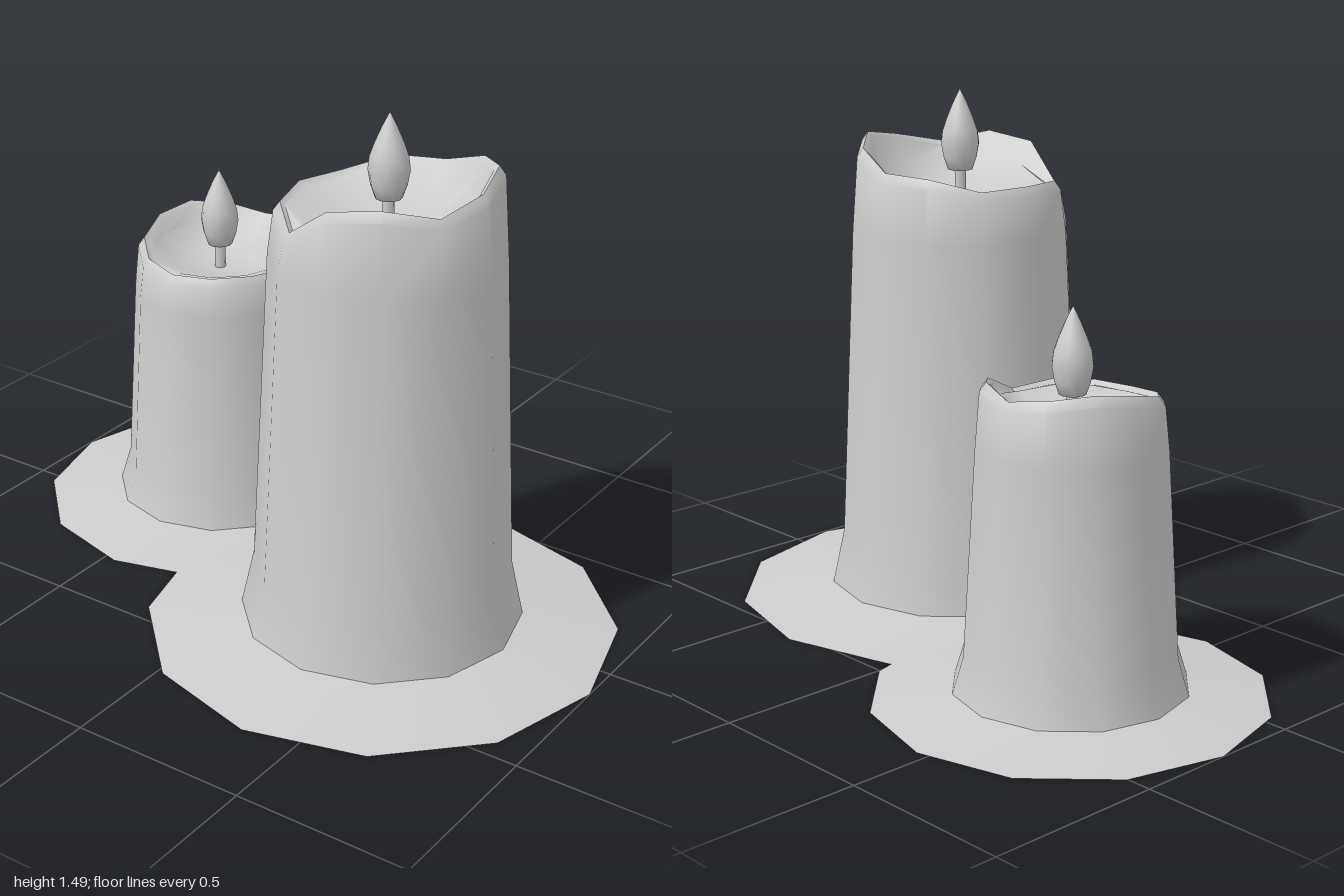
import * as THREE from 'three';
import { toCreasedNormals } from 'three/addons/utils/BufferGeometryUtils.js';

const SIDES = 12;

// Skin a stack of 12-sided rings; each ring is [radius, height or height-per-side function]
function loft(rings, crease) {
  const pos = [], index = [];
  rings.forEach(([r, y], k) => {
    for (let i = 0; i < SIDES; i++) {
      const a = (i / SIDES) * Math.PI * 2;
      pos.push(r * Math.cos(a), typeof y === 'function' ? y(i) : y, r * Math.sin(a));
      if (k === 0) continue;
      const j = (i + 1) % SIDES, lo = (k - 1) * SIDES, hi = k * SIDES;
      if (rings[k - 1][0] > 0) index.push(lo + i, hi + i, lo + j);
      if (r > 0) index.push(lo + j, hi + i, hi + j);
    }
  });
  const geo = new THREE.BufferGeometry();
  geo.setAttribute('position', new THREE.Float32BufferAttribute(pos, 3));
  geo.setIndex(index);
  return toCreasedNormals(geo, crease);
}

function createCandle({ name, x, z, poolR, baseR, baseY, flareR, flareY, shoulderR, shoulderY, rimR, rim, floorY, tipY }) {
  const candle = new THREE.Group();
  candle.name = name;
  candle.position.set(x, 0, z);
  const material = new THREE.MeshStandardMaterial({ color: 0xcccccc, side: THREE.DoubleSide });
  const add = (part, geo, y = 0) => {
    const mesh = new THREE.Mesh(geo, material);
    mesh.name = part;
    mesh.position.y = y;
    candle.add(mesh);
  };

  // Melted wax spread on the ground, with a shallow recess underneath
  add('waxPool', loft([
    [0, baseY], [baseR - 0.02, baseY], [baseR + 0.01, 0], [poolR, 0], [baseR, baseY],
  ], 0.1));

  // Flared column, uneven rim and hollow melted top
  const offset = (d) => (i) => rim[i] + d;
  add('waxBody', loft([
    [baseR, baseY], [flareR, flareY], [shoulderR, shoulderY],
    [rimR, offset(-0.025)], [rimR - 0.018, offset(0)], [rimR - 0.032, offset(-0.012)],
    [rimR * 0.8, (i) => floorY + 0.03 + (rim[i] - floorY) * 0.3],
    [rimR * 0.45, floorY + 0.012], [0, floorY],
  ], 0.75));

  // Wick and teardrop flame
  add('wick', new THREE.CylinderGeometry(0.016, 0.016, tipY - 0.2 - floorY, 8), (tipY - 0.2 + floorY) / 2);
  const profile = [[0, -0.232], [0.036, -0.23], [0.048, -0.195], [0.055, -0.155], [0.051, -0.12], [0.039, -0.085], [0.02, -0.04], [0, 0]];
  add('flame', new THREE.LatheGeometry(profile.map((p) => new THREE.Vector2(...p)), 12), tipY);
  return candle;
}

export function createModel() {
  const model = new THREE.Group();
  model.name = 'candles';
  // Rim heights run from +x round through +z
  model.add(createCandle({
    name: 'tallCandle', x: 0.345, z: 0.115, poolR: 0.655, baseR: 0.39, baseY: 0.04,
    flareR: 0.355, flareY: 0.2, shoulderR: 0.313, shoulderY: 1.09, rimR: 0.297,
    rim: [1.325, 1.295, 1.325, 1.305, 1.205, 1.235, 1.24, 1.235, 1.27, 1.275, 1.325, 1.35],
    floorY: 1.17, tipY: 1.485,
  }));
  model.add(createCandle({
    name: 'shortCandle', x: -0.465, z: -0.235, poolR: 0.535, baseR: 0.318, baseY: 0.03,
    flareR: 0.288, flareY: 0.13, shoulderR: 0.255, shoulderY: 0.69, rimR: 0.243,
    rim: [0.79, 0.8, 0.8, 0.797, 0.81, 0.83, 0.86, 0.875, 0.86, 0.842, 0.865, 0.845],
    floorY: 0.745, tipY: 1.05,
  }));
  return model;
}
